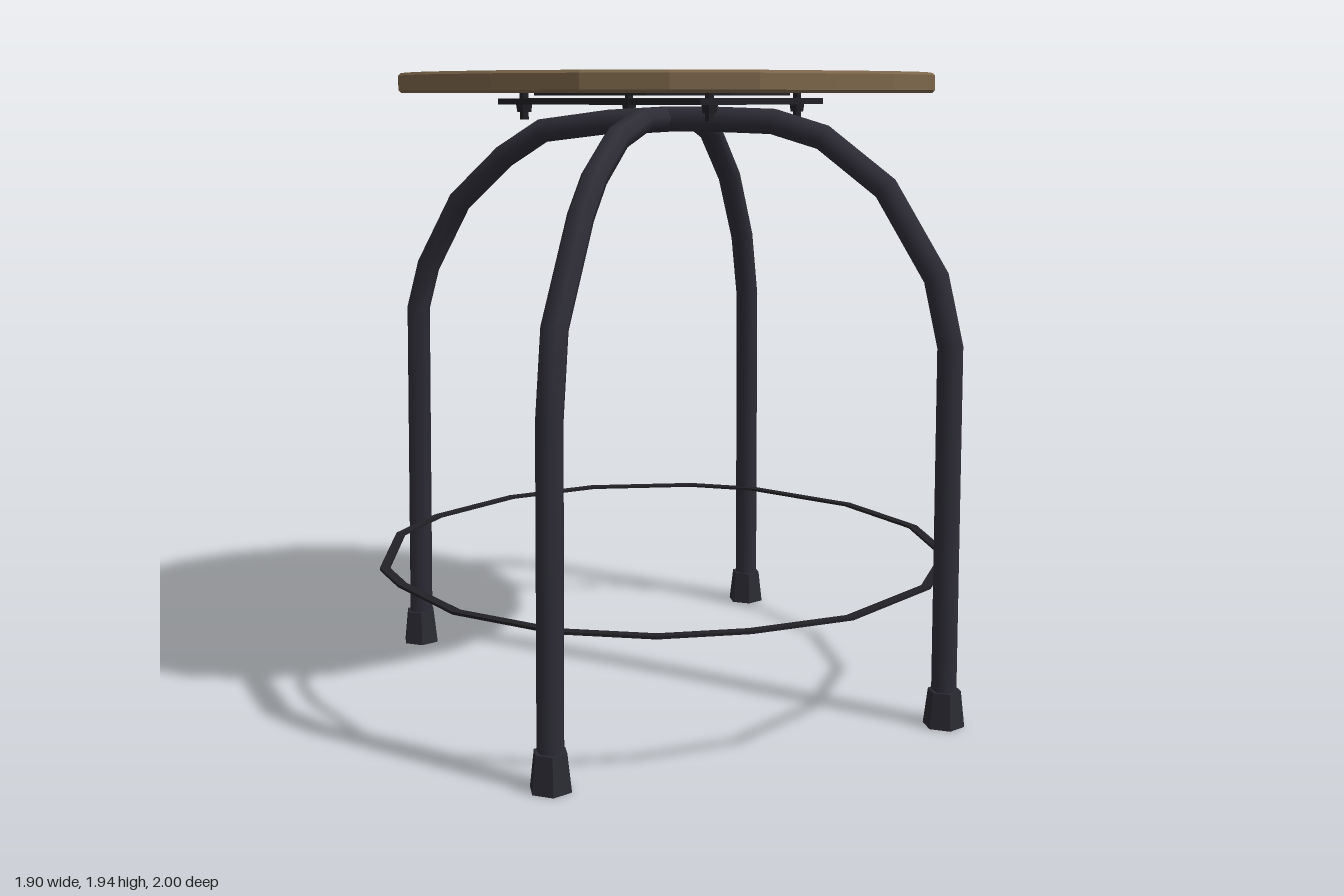
import * as THREE from 'three';

const material = (name, color, flatShading = false) => {
  const m = new THREE.MeshStandardMaterial({ color, flatShading });
  m.name = name;
  return m;
};

// Flat slab cut from an outline of [x, z] points, top face at y
function slab(outline, y, depth, innerScale = 0, bevel = 0) {
  const pts = outline.map(([x, z]) => new THREE.Vector2(x, z));
  const shape = new THREE.Shape(pts);
  if (innerScale) shape.holes.push(new THREE.Path(pts.map(p => p.clone().multiplyScalar(innerScale))));
  const geo = new THREE.ExtrudeGeometry(shape, {
    depth: depth - 2 * bevel, bevelEnabled: bevel > 0, bevelSegments: 1,
    bevelSize: bevel, bevelThickness: bevel, bevelOffset: -bevel,
  });
  return geo.rotateX(Math.PI / 2).translate(0, y - bevel, 0);
}

// Tube with one ring of vertices at each listed point
function bentTube(points, radius, sides) {
  const curve = new THREE.CatmullRomCurve3(points);
  curve.getPointAt = (t, target) => curve.getPoint(t, target);
  curve.getTangentAt = (t, target) => curve.getTangent(t, target);
  return new THREE.TubeGeometry(curve, points.length - 1, radius, sides, false);
}

export function createModel() {
  const model = new THREE.Group();
  const wood = material('wood', 0x7c664a, true);
  const metal = material('dark painted metal', 0x2e2d37);
  const rubber = material('rubber feet', 0x2a2a32, true);
  const iron = material('black iron', 0x212126, true);

  const add = (name, geo, mat) => {
    const mesh = new THREE.Mesh(geo, mat);
    mesh.name = name;
    model.add(mesh);
    return mesh;
  };

  // Round wooden seat, slightly irregular
  add('seat', slab([
    [-0.81, 0.1], [-0.8, -0.22], [-0.66, -0.52], [-0.5, -0.67], [-0.27, -0.8], [-0.02, -0.83],
    [0.2, -0.81], [0.4, -0.73], [0.57, -0.62], [0.74, -0.38], [0.825, -0.05], [0.8, 0.2],
    [0.7, 0.42], [0.55, 0.57], [0.35, 0.74], [0.12, 0.81], [-0.12, 0.81], [-0.38, 0.71],
    [-0.62, 0.49], [-0.74, 0.28],
  ], 1.94, 0.06, 0, 0.008), wood);

  // Mounting plate and the pad between it and the seat
  const plateAngle = 0.33;
  add('mountingPlate', new THREE.CylinderGeometry(0.51, 0.51, 0.018, 4)
    .rotateY(plateAngle + Math.PI / 2).translate(0, 1.855, 0), iron);
  add('mountingPad', new THREE.CylinderGeometry(0.4, 0.4, 0.008, 10).translate(0, 1.877, 0), iron);

  // Four bolts whose tips show through the seat
  [[-0.17, -0.42, 0.03], [0.4, -0.18, 0.03], [0.18, 0.37, 0.03], [-0.41, 0.13, 0.006]].forEach(([x, z, tip], i) => {
    add('boltHead', new THREE.CylinderGeometry(0.026, 0.022, 0.025, 6).translate(x, 1.835, z), iron);
    add('boltShank', new THREE.CylinderGeometry(0.014, 0.014, 0.08, 6).translate(x, 1.84, z), iron);
    add('boltTip', new THREE.CylinderGeometry(tip, tip, 0.006, 3).rotateY(i * 1.9 + 0.6).translate(x, 1.941, z), iron);
  });

  // Two arched tubes crossing under the seat; profile is [distance from centre, y]
  const arches = [
    { foot: [0.89, 0.3], ends: [
      [[1, 0.06], [0.98, 1.17], [0.935, 1.31], [0.8, 1.525], [0.615, 1.675], [0.46, 1.76], [0.2, 1.79]],
      [[1, 0.06], [0.99, 1.15], [0.94, 1.35], [0.77, 1.605], [0.56, 1.75], [0.39, 1.795], [0.2, 1.8]],
    ] },
    { foot: [-0.19, 0.94], ends: [
      [[1, 0.06], [0.98, 1.16], [0.905, 1.38], [0.735, 1.6], [0.51, 1.755], [0.35, 1.795], [0.15, 1.8]],
      [[1, 0.06], [0.98, 1.02], [0.935, 1.265], [0.73, 1.55], [0.62, 1.65], [0.435, 1.75], [0.2, 1.8]],
    ] },
  ];
  arches.forEach(({ foot: [fx, fz], ends }) => {
    const at = (sign) => ([r, y]) => new THREE.Vector3(sign * r * fx, y, sign * r * fz);
    const path = [...ends[0].map(at(-1)), new THREE.Vector3(0, 1.8, 0), ...ends[1].map(at(1)).reverse()];
    add('legArch', bentTube(path, 0.039, 7), metal);
    for (const s of [-1, 1]) {
      add('footCap', new THREE.CylinderGeometry(0.05, 0.063, 0.11, 6)
        .rotateY(0.3).translate(s * fx, 0.055, s * fz), rubber);
    }
  });

  // Thin flat foot ring
  add('footRing', slab([
    [-0.905, -0.08], [-0.845, -0.34], [-0.65, -0.66], [-0.38, -0.86], [-0.02, -0.945], [0.22, -0.91],
    [0.58, -0.7], [0.81, -0.4], [0.91, -0.04], [0.84, 0.34], [0.62, 0.68], [0.35, 0.84],
    [0.1, 0.92], [-0.18, 0.91], [-0.5, 0.77], [-0.73, 0.52], [-0.835, 0.35],
  ], 0.44, 0.008, 0.967), iron);

  return model;
}
